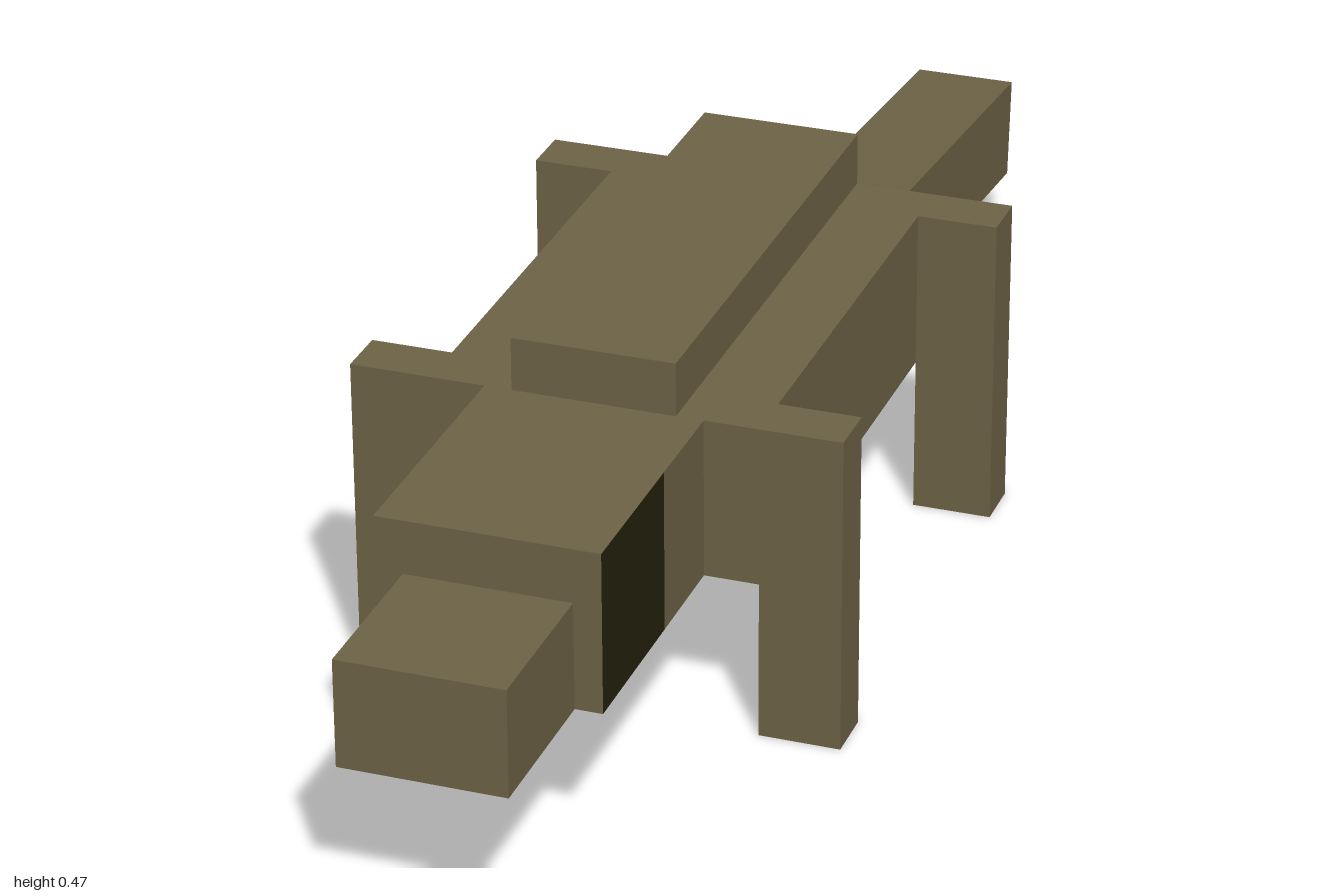
import * as THREE from 'three';

const U = 1 / 15; // block unit

export function createModel() {
  const model = new THREE.Group();
  model.name = 'blockReptile';

  const skin = new THREE.MeshStandardMaterial({ color: 0x6e6346 });
  skin.name = 'olive skin';
  const dark = new THREE.MeshStandardMaterial({ color: 0x23210d });
  dark.name = 'dark eye';

  // Box given by its limits in block units
  function block(name, [x0, x1], [y0, y1], [z0, z1], material = skin) {
    const geometry = new THREE.BoxGeometry((x1 - x0) * U, (y1 - y0) * U, (z1 - z0) * U);
    const mesh = new THREE.Mesh(geometry, material);
    mesh.position.set((x0 + x1) / 2 * U, (y0 + y1) / 2 * U, (z0 + z1) / 2 * U);
    mesh.name = name;
    model.add(mesh);
    return mesh;
  }

  // Trunk and raised back
  block('body', [-3, 3], [3, 6], [-3, 7]);
  block('backRidge', [-1.5, 1.5], [6, 7], [-3, 7]);

  // Head: the front part has dark eye faces on both sides
  block('headBack', [-2, 2], [3, 6], [7, 9]);
  block('headWithEyes', [-2, 2], [3, 6], [9, 12], [dark, dark, skin, skin, skin, skin]);
  block('snout', [-1.5, 1.5], [3, 5], [12, 15]);

  // Legs, flush with the ends of the trunk
  for (const [side, x] of [['left', [3, 4.5]], ['right', [-4.5, -3]]]) {
    block(side + 'FrontLeg', x, [0, 6], [6, 7]);
    block(side + 'BackLeg', x, [0, 6], [-3, -2]);
  }

  // Tail, drooping five degrees towards its tip
  const tail = block('tail', [-1, 1], [-1, 1], [-7.5, 7.5]);
  tail.position.set(0, 0.176, -0.498);
  tail.rotation.x = -THREE.MathUtils.degToRad(5);

  return model;
}
